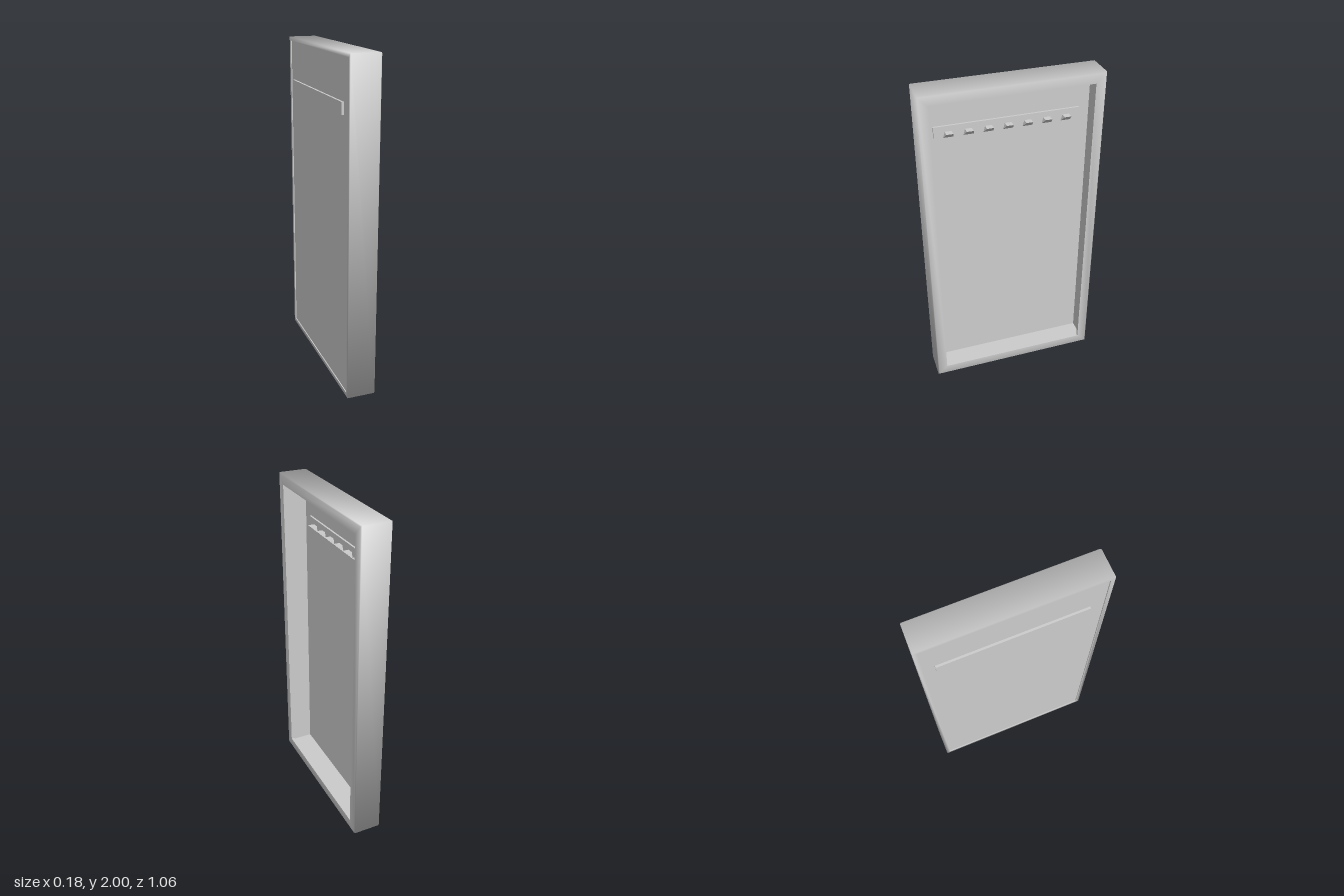
import * as THREE from 'three';

const HALF = 0.529, H = 2;
const BACK = -0.084, FRONT = 0.091, LIP_BACK = 0.073;
const PANEL_BACK = -0.078, PANEL_FRONT = -0.072;
const LIP = 0.061, WALL = 0.024;

const grey = new THREE.MeshStandardMaterial({ color: 0xcccccc });
grey.name = 'light grey';

function add(group, name, geometry) {
  const mesh = new THREE.Mesh(geometry, grey);
  mesh.name = name;
  group.add(mesh);
}

function box(x0, x1, y0, y1, z0, z1) {
  return new THREE.BoxGeometry(x1 - x0, y1 - y0, z1 - z0)
    .translate((x0 + x1) / 2, (y0 + y1) / 2, (z0 + z1) / 2);
}

// Loft of rectangles, each [x, inset from the outer outline, normal x, normal spread].
// Smooth lofts use the given normals, others are flat-faced.
function rings(list, smooth) {
  const pos = [], normals = [], index = [];
  for (const [x, inset, nx, spread] of list) {
    for (const [su, sy] of [[-1, -1], [1, -1], [1, 1], [-1, 1]]) {
      pos.push(x, H / 2 + sy * (H / 2 - inset), -su * (HALF - inset));
      if (smooth) normals.push(...new THREE.Vector3(nx, sy * spread, -su * spread).normalize());
    }
  }
  for (let r = 0; r < list.length - 1; r++) {
    for (let j = 0; j < 4; j++) {
      const a = r * 4 + j, b = r * 4 + (j + 1) % 4, c = b + 4, d = a + 4;
      index.push(a, b, c, a, c, d);
    }
  }
  const g = new THREE.BufferGeometry();
  g.setAttribute('position', new THREE.Float32BufferAttribute(pos, 3));
  g.setIndex(index);
  if (smooth) {
    g.setAttribute('normal', new THREE.Float32BufferAttribute(normals, 3));
    return g;
  }
  const flat = g.toNonIndexed();
  flat.computeVertexNormals();
  return flat;
}

// Wedge hook: upright trapezoid at the rail, sloping underside, level top
function hookGeometry(depth, height, low, high) {
  const p = [
    [0, 0, low], [0, 0, -low], [0, height, -high], [0, height, high],
    [depth, height, -high], [depth, height, high],
  ];
  const faces = [[0, 1, 4], [0, 4, 5], [3, 5, 4], [3, 4, 2], [0, 5, 3], [1, 2, 4]];
  const g = new THREE.BufferGeometry();
  g.setAttribute('position', new THREE.Float32BufferAttribute(faces.flat().flatMap((i) => p[i]), 3));
  g.computeVertexNormals();
  return g;
}

export function createModel() {
  const model = new THREE.Group();
  model.name = 'shallowCase';

  // Softly shaded shell with a fine front chamfer and a front flange
  add(model, 'frame', rings([
    [BACK, WALL, -1, 0], [BACK, 0, -0.4, 1], [FRONT - 0.006, 0, 0.4, 1],
    [FRONT, 0.006, 1, 0.3], [FRONT, LIP, 1, 0],
  ], true));

  // Crisp inside of the flange and the thin walls behind it
  add(model, 'flangeInside', rings([[FRONT, LIP], [LIP_BACK, LIP], [LIP_BACK, WALL]], false));
  add(model, 'innerWalls', rings([[LIP_BACK, WALL], [PANEL_FRONT, WALL]], false));
  add(model, 'backRim', rings([[PANEL_BACK, WALL], [BACK, WALL]], false));

  // Thin back panel
  const w = HALF - WALL;
  add(model, 'backPanel', box(PANEL_BACK, PANEL_FRONT, WALL, H - WALL, -w, w));

  // Rail through the panel, with seven wedge hooks along its lower edge
  const railFront = -0.06, railBottom = 1.669;
  add(model, 'rail', box(-0.091, railFront, railBottom, 1.739, -0.441, 0.423));
  for (let i = 0; i < 7; i++) {
    const hook = hookGeometry(0.04, 0.036, 0.03, 0.02);
    hook.translate(railFront, railBottom, 0.339 - 0.1163 * i);
    add(model, 'hook', hook);
  }
  return model;
}
